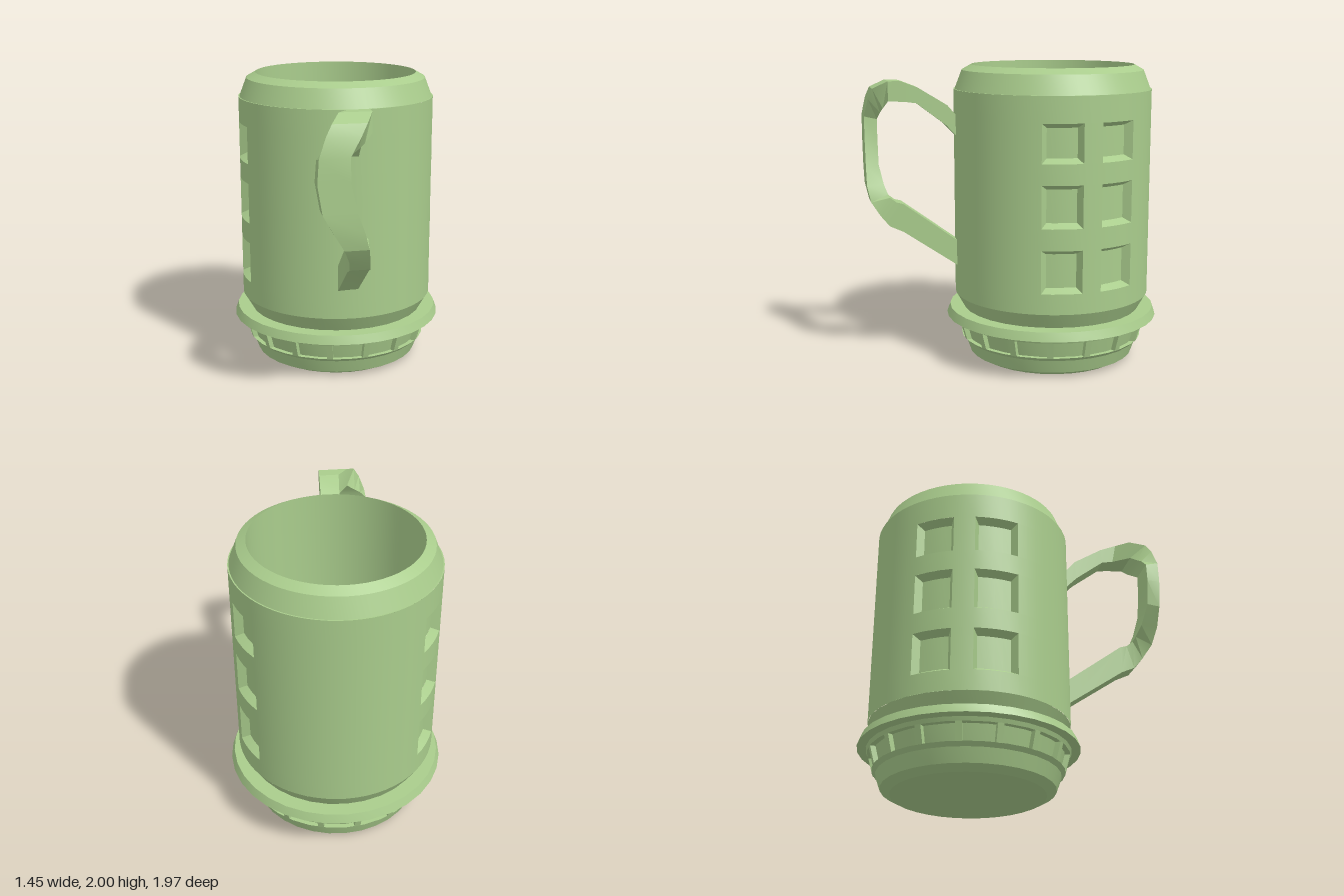
import * as THREE from 'three';
import { toCreasedNormals } from 'three/addons/utils/BufferGeometryUtils.js';

const R = 0.663;        // body radius
const PIT_R = 0.61;     // radius of the window floors
const CENTRE_Z = -0.262;
const rad = THREE.MathUtils.degToRad;

function meshOf(geometry, name, material, crease = 0.4) {
  const mesh = new THREE.Mesh(toCreasedNormals(geometry, crease), material);
  mesh.name = name;
  return mesh;
}

function fromTriangles(positions) {
  const g = new THREE.BufferGeometry();
  g.setAttribute('position', new THREE.Float32BufferAttribute(positions, 3));
  g.computeVertexNormals();
  return g;
}

function lathe(points, segments) {
  return new THREE.LatheGeometry(points.map(p => new THREE.Vector2(...p)), segments);
}

// Cylindrical wall between the chamfers, with sunken square windows
function wallGeometry() {
  const out = [];
  const mix = THREE.MathUtils.lerp;
  const point = ([t, r, y]) => [r * Math.cos(rad(t)), y, r * Math.sin(rad(t))];
  const blend = (p, q, k) => p.map((v, i) => mix(v, q[i], k));

  // Patch ruled between a lower edge a-b and an upper edge c-d (angle, radius, height)
  function patch(a, b, c, d) {
    const n = Math.max(1, Math.ceil(Math.abs(b[0] - a[0]) / 6));
    for (let i = 0; i < n; i++) {
      const l0 = point(blend(a, b, i / n)), l1 = point(blend(a, b, (i + 1) / n));
      const u0 = point(blend(c, d, i / n)), u1 = point(blend(c, d, (i + 1) / n));
      out.push(...l0, ...u0, ...u1, ...l0, ...u1, ...l1);
    }
  }

  const corners = (t0, t1, y0, y1, r) => [[t0, r, y0], [t1, r, y0], [t0, r, y1], [t1, r, y1]];

  function pit(t0, t1, y0, y1) {
    const o = corners(t0, t1, y0, y1, R);
    const f = corners(t0 + 2.3, t1 - 2.3, y0 + 0.03, y1 - 0.03, PIT_R);
    patch(...f);
    patch(o[0], o[1], f[0], f[1]);
    patch(f[2], f[3], o[2], o[3]);
    patch(o[0], f[0], o[2], f[2]);
    patch(f[1], o[1], f[3], o[3]);
  }

  // Windows sit in the odd cells of the angle and height breaks
  const angles = [-13.2, -2.1, 20.8, 163.5, 188.5, 200.5, 223, 324.6, 346.8];
  const heights = [0.455, 0.59, 0.87, 1.01, 1.285, 1.42, 1.67, 1.84];
  for (let i = 0; i + 1 < angles.length; i++) {
    for (let j = 0; j + 1 < heights.length; j++) {
      const cell = [angles[i], angles[i + 1], heights[j], heights[j + 1]];
      if (i % 2 && j % 2) pit(...cell);
      else patch(...corners(...cell, R));
    }
  }
  return fromTriangles(out);
}

// Twisted strap: four-cornered sections [outer z, outer y, inner z, inner y, x low, x high]
function handleGeometry() {
  const sections = [
    [0.36, 1.63, 0.36, 1.50, -0.12, 0.013],
    [0.455, 1.74, 0.465, 1.61, -0.12, 0.01],
    [0.646, 1.857, 0.656, 1.755, -0.13, 0],
    [0.757, 1.90, 0.73, 1.765, -0.14, -0.005],
    [0.84, 1.90, 0.84, 1.77, -0.21, -0.01],
    [0.937, 1.85, 0.87, 1.72, -0.27, -0.06],
    [0.963, 1.78, 0.885, 1.69, -0.31, -0.10],
    [0.985, 1.66, 0.90, 1.64, -0.355, -0.17],
    [0.985, 1.51, 0.90, 1.51, -0.365, -0.165],
    [0.985, 1.33, 0.90, 1.34, -0.335, -0.125],
    [0.985, 1.205, 0.873, 1.21, -0.265, -0.08],
    [0.963, 1.10, 0.85, 1.15, -0.20, -0.05],
    [0.905, 1.01, 0.84, 1.13, -0.16, -0.03],
    [0.847, 0.94, 0.80, 1.10, -0.145, -0.015],
    [0.757, 0.90, 0.757, 1.09, -0.14, -0.005],
    [0.36, 0.63, 0.36, 0.80, -0.12, 0.013],
  ];
  const rings = sections.map(([zo, yo, zi, yi, x0, x1]) =>
    [[x0, yo, zo], [x1, yo, zo], [x1, yi, zi], [x0, yi, zi]]);
  const out = [];
  for (let i = 0; i + 1 < rings.length; i++) {
    for (let k = 0; k < 4; k++) {
      const a = rings[i][k], b = rings[i + 1][k];
      const c = rings[i + 1][(k + 1) % 4], d = rings[i][(k + 1) % 4];
      out.push(...a, ...b, ...c, ...a, ...c, ...d);
    }
  }
  return fromTriangles(out);
}

export function createModel() {
  const model = new THREE.Group();
  model.name = 'mug';
  const green = new THREE.MeshStandardMaterial({ color: 0xa9cc8c });

  const body = new THREE.Group();
  body.name = 'body';
  body.position.z = CENTRE_Z;
  model.add(body);

  body.add(meshOf(wallGeometry(), 'windowedWall', green));

  // Sloped rim, straight inner wall and floor
  body.add(meshOf(lathe([
    [R, 1.84], [0.655, 1.84], [0.607, 1.965], [0.545, 2.0], [0.545, 0.15], [0, 0.15],
  ], 64), 'rimAndInterior', green));

  // Stepped foot with a recessed band and a wide flange
  body.add(meshOf(lathe([
    [0, 0], [0.5, 0], [0.564, 0.034], [0.596, 0.125], [0.622, 0.15], [0.59, 0.15],
    [0.62, 0.262], [0.655, 0.262], [0.665, 0.288], [0.723, 0.294], [0.702, 0.352],
    [0.605, 0.352], [R, 0.455],
  ], 32), 'foot', green));

  // Upright ribs dividing the recessed band
  const ribShape = new THREE.Shape([
    [0.57, 0.148], [0.621, 0.148], [0.653, 0.264], [0.60, 0.264],
  ].map(p => new THREE.Vector2(...p)));
  const ribGeometry = new THREE.ExtrudeGeometry(ribShape, { depth: 0.04, bevelEnabled: false });
  ribGeometry.translate(0, 0, -0.02);
  for (let i = 0; i < 16; i++) {
    const rib = new THREE.Mesh(ribGeometry, green);
    rib.name = 'footRib';
    rib.rotation.y = rad(7 - 90 + i * 22.5);
    body.add(rib);
  }

  model.add(meshOf(handleGeometry(), 'handle', green, 0.25));
  return model;
}
